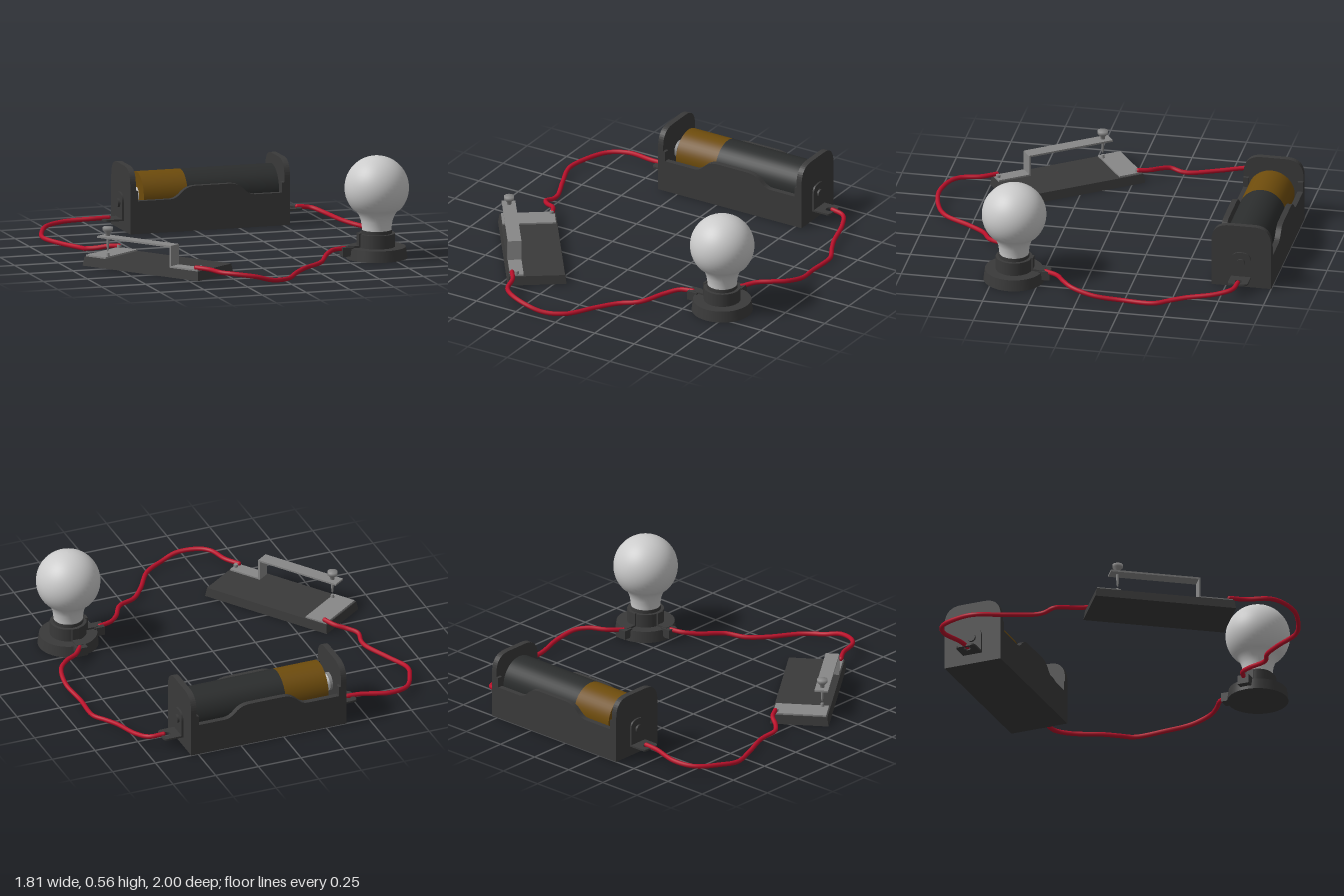
import * as THREE from 'three';

const mat = (color, side = THREE.FrontSide) => new THREE.MeshStandardMaterial({ color, side });
const dark = mat(0x3a3a3a), black = mat(0x2b2d2d), gold = mat(0x6e4c0c);
const metal = mat(0x888888), glass = mat(0xcccccc), red = mat(0xb8102a);

function add(parent, name, geometry, material, x = 0, y = 0, z = 0) {
  const mesh = new THREE.Mesh(geometry, material);
  mesh.name = name;
  mesh.position.set(x, y, z);
  parent.add(mesh);
  return mesh;
}
const box = (w, h, d) => new THREE.BoxGeometry(w, h, d);
const rod = (r, length, seg = 40) => new THREE.CylinderGeometry(r, r, length, seg).rotateZ(Math.PI / 2);
const extrude = (shape, depth) =>
  new THREE.ExtrudeGeometry(shape, { depth, bevelEnabled: false, curveSegments: 12 });
const lathe = (pts, seg = 40) => new THREE.LatheGeometry(pts.map(p => new THREE.Vector2(...p)), seg);

// Upright plate in the YZ plane with rounded top corners, centred on x
function archPlate(width, height, radius, thickness) {
  const w = width / 2, s = new THREE.Shape();
  s.moveTo(-w, 0).lineTo(w, 0).lineTo(w, height - radius);
  s.quadraticCurveTo(w, height, w - radius, height);
  s.lineTo(-w + radius, height);
  s.quadraticCurveTo(-w, height, -w, height - radius);
  return extrude(s, thickness).translate(0, 0, -thickness / 2).rotateY(Math.PI / 2);
}

function batteryHolder() {
  const g = new THREE.Group();
  g.name = 'batteryHolder';
  g.position.set(0.085, 0, -0.835);
  add(g, 'holderFloor', box(0.9, 0.045, 0.32), dark, 0, 0.0225, 0);

  // Side walls with a raised hump in the middle and a step at each end
  const s = new THREE.Shape();
  s.moveTo(-0.44, 0).lineTo(0.44, 0).lineTo(0.44, 0.24).lineTo(0.41, 0.235).lineTo(0.41, 0.18).lineTo(0.255, 0.18);
  s.bezierCurveTo(0.19, 0.185, 0.2, 0.245, 0.11, 0.247);
  s.lineTo(-0.08, 0.247);
  s.bezierCurveTo(-0.17, 0.245, -0.16, 0.185, -0.225, 0.18);
  s.lineTo(-0.41, 0.18).lineTo(-0.41, 0.235).lineTo(-0.44, 0.24);
  for (const z of [-0.165, 0.135]) add(g, 'sideWall', extrude(s, 0.03), dark, 0, 0, z);

  // End plates, each with a riveted solder terminal
  for (const side of [-1, 1]) {
    add(g, 'endPlate', archPlate(0.33, 0.36, 0.1, 0.032), dark, side * 0.439, 0, 0);
    add(g, 'terminalPlate', archPlate(0.11, 0.145, 0.05, 0.01), dark, side * 0.46, 0.06, 0);
    add(g, 'rivet', rod(0.023, 0.022, 20), dark, side * 0.466, 0.147, 0);
    add(g, 'innerContact', rod(0.05, 0.016, 24), metal, side * 0.416, 0.185, 0);

    const tab = new THREE.Shape();
    tab.moveTo(0, -0.055).lineTo(0.085, -0.055).quadraticCurveTo(0.11, -0.055, 0.11, -0.03);
    tab.lineTo(0.11, 0.03).quadraticCurveTo(0.11, 0.055, 0.085, 0.055).lineTo(0, 0.055);
    tab.holes.push(new THREE.Path().absarc(0.075, 0, 0.02, 0, Math.PI * 2, true));
    const tabMesh = add(g, 'solderTab', extrude(tab, 0.01).rotateX(-Math.PI / 2), dark, side * 0.455, 0.055, 0);
    if (side < 0) tabMesh.rotation.y = Math.PI;
  }

  // Battery cell
  add(g, 'batteryBody', rod(0.128, 0.52, 48), black, 0.145, 0.185, 0);
  add(g, 'batteryBand', rod(0.128, 0.25, 48), gold, -0.24, 0.185, 0);
  add(g, 'batteryNub', rod(0.042, 0.045, 24), glass, -0.385, 0.185, 0);
  return g;
}

function lamp() {
  const g = new THREE.Group();
  g.name = 'lamp';
  g.position.set(0.685, 0, 0.39);
  add(g, 'lampBase', new THREE.CylinderGeometry(0.158, 0.166, 0.062, 40), dark, 0, 0.031, 0);
  add(g, 'socket', new THREE.CylinderGeometry(0.1, 0.1, 0.075, 32), dark, 0, 0.098, 0);
  add(g, 'socketRim', new THREE.CylinderGeometry(0.083, 0.083, 0.02, 32), dark, 0, 0.145, 0);

  // Glass bulb: neck blending into a sphere
  const pts = [[0.079, 0.14], [0.081, 0.17], [0.086, 0.205], [0.097, 0.235], [0.114, 0.259]];
  for (let i = 0; i <= 20; i++) {
    const a = -0.74 + (i / 20) * (Math.PI / 2 + 0.74);
    pts.push([Math.max(0, 0.175 * Math.cos(a)), 0.385 + 0.175 * Math.sin(a)]);
  }
  add(g, 'bulb', lathe(pts, 48), glass);

  // Terminal lugs and spring clips towards the two wires
  for (const turn of [0, -Math.PI / 2]) {
    const lug = new THREE.Group();
    lug.name = 'lampTerminal';
    lug.rotation.y = turn;
    add(lug, 'lug', box(0.06, 0.05, 0.065), dark, -0.172, 0.045, 0);
    add(lug, 'lugStrip', box(0.09, 0.01, 0.04), dark, -0.125, 0.068, 0);
    add(lug, 'clip', box(0.014, 0.07, 0.04), dark, -0.101, 0.105, 0);
    g.add(lug);
  }
  return g;
}

function keySwitch() {
  const g = new THREE.Group();
  g.name = 'keySwitch';
  g.position.set(-0.547, 0, 0.345);
  g.rotation.y = -0.954;

  // Board with slightly tapered sides
  const board = box(0.778, 0.05, 0.32), p = board.attributes.position;
  for (let i = 0; i < p.count; i++) {
    if (p.getY(i) > 0) p.setXYZ(i, p.getX(i) * 0.98, p.getY(i), p.getZ(i) * 0.95);
  }
  board.computeVertexNormals();
  add(g, 'board', board, dark, 0, 0.025, 0);
  add(g, 'contactPlate', box(0.13, 0.01, 0.29), metal, -0.31, 0.054, 0);

  // Bent lever: foot, riser and arm
  const z = 0.109, w = 0.074;
  add(g, 'leverFoot', box(0.19, 0.01, w), metal, 0.28, 0.054, z);
  add(g, 'leverRiser', box(0.01, 0.118, w), metal, 0.19, 0.11, z);
  add(g, 'leverArm', box(0.495, 0.01, w), metal, -0.053, 0.166, z);

  // Press knob with contact pin
  add(g, 'knob', lathe([[0, 0.085], [0.005, 0.095], [0.008, 0.13], [0.008, 0.165], [0.012, 0.172],
    [0.012, 0.185], [0.028, 0.202], [0.028, 0.22], [0, 0.22]], 24), metal, -0.256, 0, z);
  add(g, 'contactStud', new THREE.CylinderGeometry(0.008, 0.012, 0.022, 16), metal, -0.256, 0.066, z);
  for (const [x, sz] of [[-0.355, -0.13], [0.362, z]]) {
    add(g, 'wirePost', new THREE.CylinderGeometry(0.012, 0.012, 0.022, 16), metal, x, 0.064, sz);
  }
  return g;
}

// Wire paths as [x, y, z]
const wires = {
  wireBatteryToSwitch: [[-0.44, 0.068, -0.835], [-0.52, 0.066, -0.84], [-0.68, 0.055, -0.87], [-0.79, 0.045, -0.83],
    [-0.865, 0.035, -0.7], [-0.89, 0.025, -0.6], [-0.84, 0.018, -0.45], [-0.775, 0.018, -0.29], [-0.77, 0.022, -0.24],
    [-0.78, 0.035, -0.175], [-0.74, 0.045, -0.127], [-0.68, 0.06, -0.085], [-0.645, 0.068, -0.025]],
  wireBatteryToLamp: [[0.635, 0.068, -0.835], [0.71, 0.06, -0.82], [0.755, 0.045, -0.74], [0.8, 0.03, -0.58],
    [0.835, 0.022, -0.5], [0.875, 0.016, -0.42], [0.875, 0.018, -0.24], [0.897, 0.04, -0.09],
    [0.875, 0.066, 0.03], [0.82, 0.074, 0.09], [0.745, 0.07, 0.14], [0.69, 0.062, 0.215]],
  wireLampToSwitch: [[0.5, 0.062, 0.39], [0.43, 0.06, 0.41], [0.37, 0.048, 0.475], [0.295, 0.032, 0.6],
    [0.19, 0.02, 0.66], [0.11, 0.016, 0.755], [0.005, 0.015, 0.91], [-0.1, 0.024, 0.968], [-0.195, 0.05, 0.985],
    [-0.31, 0.066, 0.95], [-0.365, 0.068, 0.9], [-0.4, 0.068, 0.79], [-0.45, 0.068, 0.715]],
};

export function createModel() {
  const model = new THREE.Group();
  model.name = 'simpleCircuit';
  model.add(batteryHolder(), lamp(), keySwitch());
  for (const [name, pts] of Object.entries(wires)) {
    const path = new THREE.CatmullRomCurve3(pts.map(p => new THREE.Vector3(...p)));
    add(model, name, new THREE.TubeGeometry(path, 100, 0.0125, 10), red);
    for (const p of [pts[0], pts.at(-1)]) add(model, 'wireEnd', new THREE.SphereGeometry(0.0125, 10, 8), red, ...p);
  }
  return model;
}
